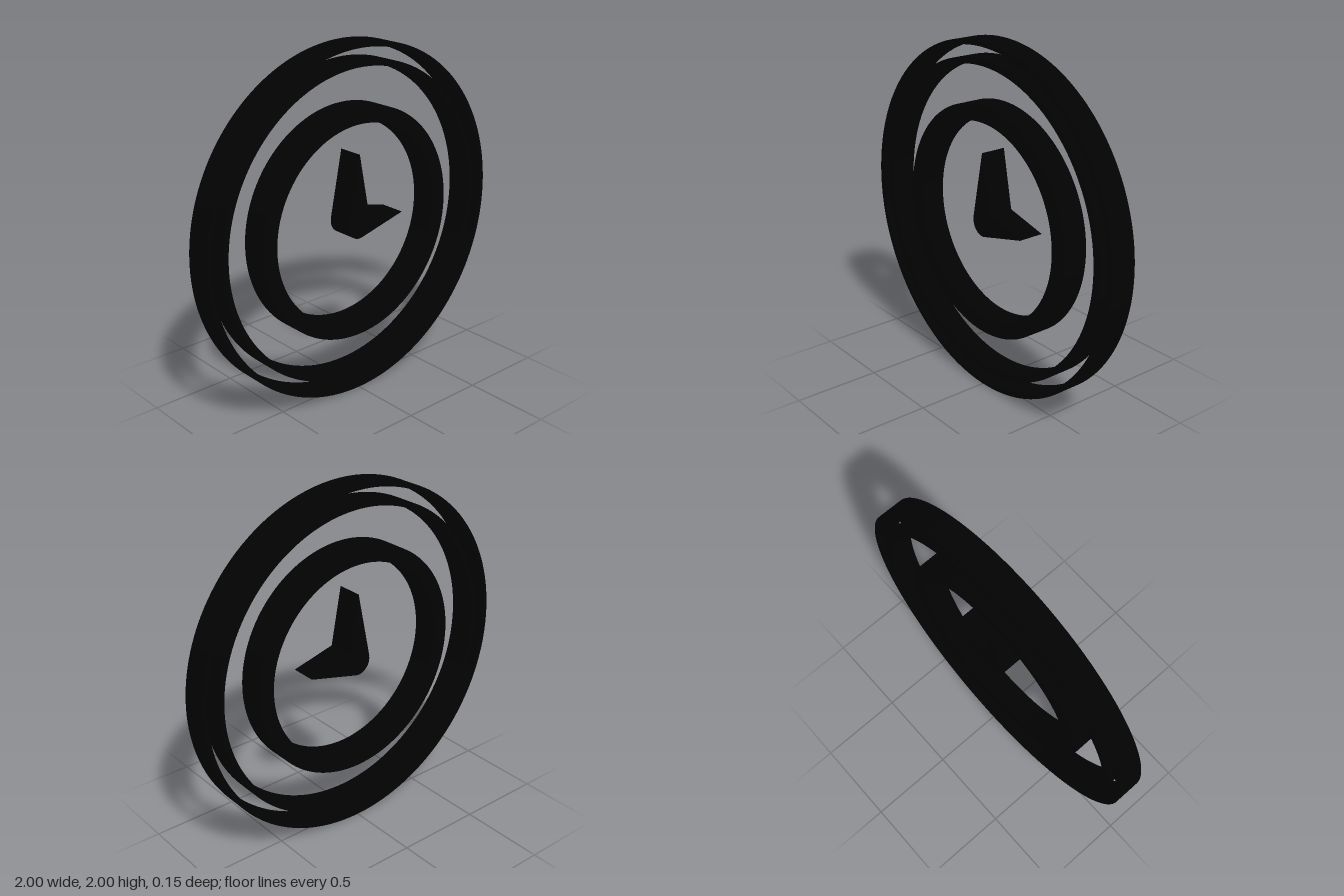
import * as THREE from 'three';
import { toCreasedNormals } from 'three/addons/utils/BufferGeometryUtils.js';

const DEPTH = 0.15;
const CENTER_Y = 1;

export function createModel() {
  const group = new THREE.Group();
  group.name = 'clock';
  const black = new THREE.MeshStandardMaterial({ color: 0x020202 });

  // Extrude a flat outline, centred on z = 0, with rounded walls kept smooth
  function addPart(name, shape) {
    let geometry = new THREE.ExtrudeGeometry(shape, {
      depth: DEPTH, bevelEnabled: false, curveSegments: 80,
    });
    geometry.translate(0, CENTER_Y, -DEPTH / 2);
    geometry = toCreasedNormals(geometry, Math.PI / 6);
    const mesh = new THREE.Mesh(geometry, black);
    mesh.name = name;
    group.add(mesh);
  }

  function ringShape(outer, inner) {
    const shape = new THREE.Shape().absarc(0, 0, outer, 0, Math.PI * 2, false);
    shape.holes.push(new THREE.Path().absarc(0, 0, inner, 0, Math.PI * 2, true));
    return shape;
  }

  // Concentric rings: thin rim, second rim and the heavy dial ring
  addPart('outerRim', ringShape(1.0, 0.97));
  addPart('innerRim', ringShape(0.905, 0.87));
  addPart('dialRing', ringShape(0.66, 0.567));

  // Two tapering hands joined by a rounded hub
  const hub = 0.078;
  const hands = new THREE.Shape();
  hands.moveTo(0.32, 0);
  hands.lineTo(0.065, 0.065);
  hands.lineTo(0, 0.4);
  hands.lineTo(-hub, 0.015);
  hands.absarc(0, 0, hub, Math.PI * 0.95, Math.PI * 1.57, false);
  hands.closePath();
  addPart('hands', hands);

  return group;
}
